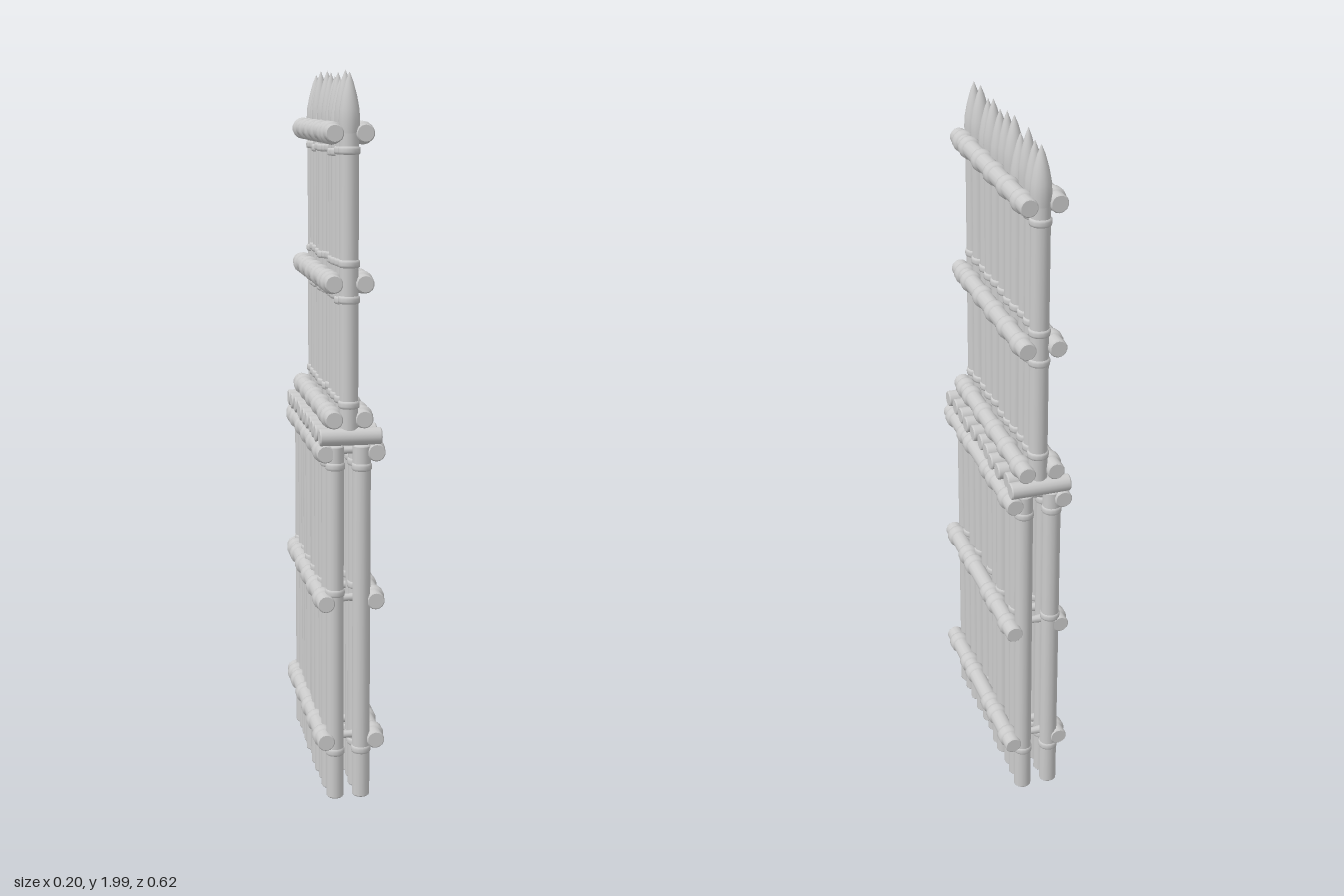
import * as THREE from 'three';

const mat = new THREE.MeshStandardMaterial({ color: 0xcccccc, side: THREE.DoubleSide });
const V = (x, y) => new THREE.Vector2(x, y);

// small seeded variation in -1..1
let seed = 7;
const vary = (amount) => {
  seed = (seed * 16807) % 2147483647;
  return (seed / 2147483647 * 2 - 1) * amount;
};

// joins straight runs of a profile with crisp normals by building each run as its own lathe
function turned(name, runs, sides = 14) {
  const group = new THREE.Group();
  group.name = name;
  for (const run of runs) {
    const mesh = new THREE.Mesh(new THREE.LatheGeometry(run, sides), mat);
    mesh.name = name;
    group.add(mesh);
  }
  return group;
}

// round log from y = 0 to y = length, slightly eased ends
function log(name, r, length) {
  const e = r * 0.12;
  return turned(name, [
    [V(0, 0), V(r - e, 0)],
    [V(r - e, 0), V(r, e), V(r, e + 0.001), V(r, length - e - 0.001), V(r, length - e), V(r - e, length)],
    [V(r - e, length), V(0, length)],
  ]);
}

// rope band around a log, centred on y = 0
function band(name, r, core, width) {
  const w = width / 2;
  return turned(name, [[
    V(core * 0.95, -w), V(r * 0.97, -w * 0.75), V(r, -w * 0.3),
    V(r, w * 0.3), V(r * 0.97, w * 0.75), V(core * 0.95, w),
  ]]);
}

// pole with a curved sharpened tip
function stake(r, bottom, top) {
  const s = top - 0.125;
  return turned('stake', [
    [V(0, bottom), V(r, bottom)],
    [V(r, bottom), V(r, s - 0.03)],
    [V(r, s - 0.03), V(r * 1.1, s), V(r * 1.04, s + 0.03), V(r * 0.78, s + 0.065),
      V(r * 0.4, s + 0.1), V(0, top)],
  ]);
}

const poleZ = [0.275, 0.218, 0.162, 0.107, 0.047, -0.005, -0.06, -0.11, -0.165, -0.22, -0.272];
const tipY = [1.985, 1.99, 1.97, 1.985, 1.975, 1.985, 1.99, 1.96, 1.99, 1.975, 1.98];

// pair of long rails along z, tied together by lashings between the poles
function railPair(y, xs, r, ties) {
  const group = new THREE.Group();
  group.name = 'railPair';
  xs.forEach((x, side) => {
    const rail = log('rail', r, 0.6);
    rail.rotation.x = Math.PI / 2;
    rail.position.set(x, y, -0.3 + vary(0.005));
    group.add(rail);
    for (const z of ties[side % ties.length]) {
      const wrap = band('railLashing', r + 0.006, r, 0.036);
      wrap.rotation.x = Math.PI / 2;
      wrap.position.set(x, y, z);
      group.add(wrap);
    }
  });
  // pinched cord running through the fence from rail to rail
  const span = xs[1] - xs[0];
  for (const z of ties[0]) {
    const cord = turned('lashingCord', [[
      V(0.017, 0), V(0.013, span * 0.25), V(0.01, span * 0.5), V(0.013, span * 0.75), V(0.017, span),
    ]], 10);
    cord.rotation.z = -Math.PI / 2;
    cord.position.set(xs[0], y, z);
    group.add(cord);
  }
  return group;
}

export function createModel() {
  const model = new THREE.Group();
  model.name = 'palisade';

  // two rows of lower posts with rope collars next to the rails
  [-0.047, 0.028].forEach((x, row) => {
    poleZ.forEach((z, i) => {
      const r = 0.025 + vary(0.0015);
      const px = x + vary(0.003);
      const bottom = i === 0 ? 0 : 0.004 + vary(0.004);
      const post = log('lowerPost', r, 1.008 - bottom);
      post.position.set(px, bottom, z);
      model.add(post);
      for (const y of [0.138, 0.6, 0.95]) {
        if ((i + row) % 2 && y === 0.6) continue;
        const collar = band('postCollar', r + 0.003, r, 0.022);
        collar.position.set(px, y + vary(0.004), z);
        model.add(collar);
      }
    });
  });

  // short cross logs bridging both rows
  for (let i = 0; i < 11; i++) {
    const cross = log('crossLog', 0.0235, 0.165 + vary(0.004));
    cross.rotation.z = -Math.PI / 2;
    cross.position.set(-0.09 + vary(0.003), 1.033, 0.285 - i * 0.0573);
    model.add(cross);
  }

  // single upper row of sharpened stakes
  poleZ.forEach((z, i) => {
    const r = 0.0245 + vary(0.0015);
    const px = -0.01 + vary(0.003);
    const pole = stake(r, 1.045, tipY[i]);
    pole.position.set(px, 0, z);
    model.add(pole);
    for (const y of [1.125, 1.395, 1.49, 1.78]) {
      const collar = band('stakeCollar', r + 0.004, r, 0.022);
      collar.position.set(px, y + vary(0.006), z);
      model.add(collar);
    }
  });

  // rails of the lower and upper tiers
  const lowerTies = [
    [-0.248, -0.19, -0.082, 0.03, 0.133, 0.247],
    [-0.246, -0.138, -0.08, 0.076, 0.135, 0.247],
  ];
  const upperTies = [[-0.246, -0.137, -0.03, 0.077, 0.19, 0.246]];
  for (const y of [0.17, 0.572, 0.988]) model.add(railPair(y, [-0.073, 0.066], 0.0245, lowerTies));
  for (const y of [1.08, 1.442, 1.83]) model.add(railPair(y, [-0.05, 0.032], 0.0245, upperTies));

  return model;
}
